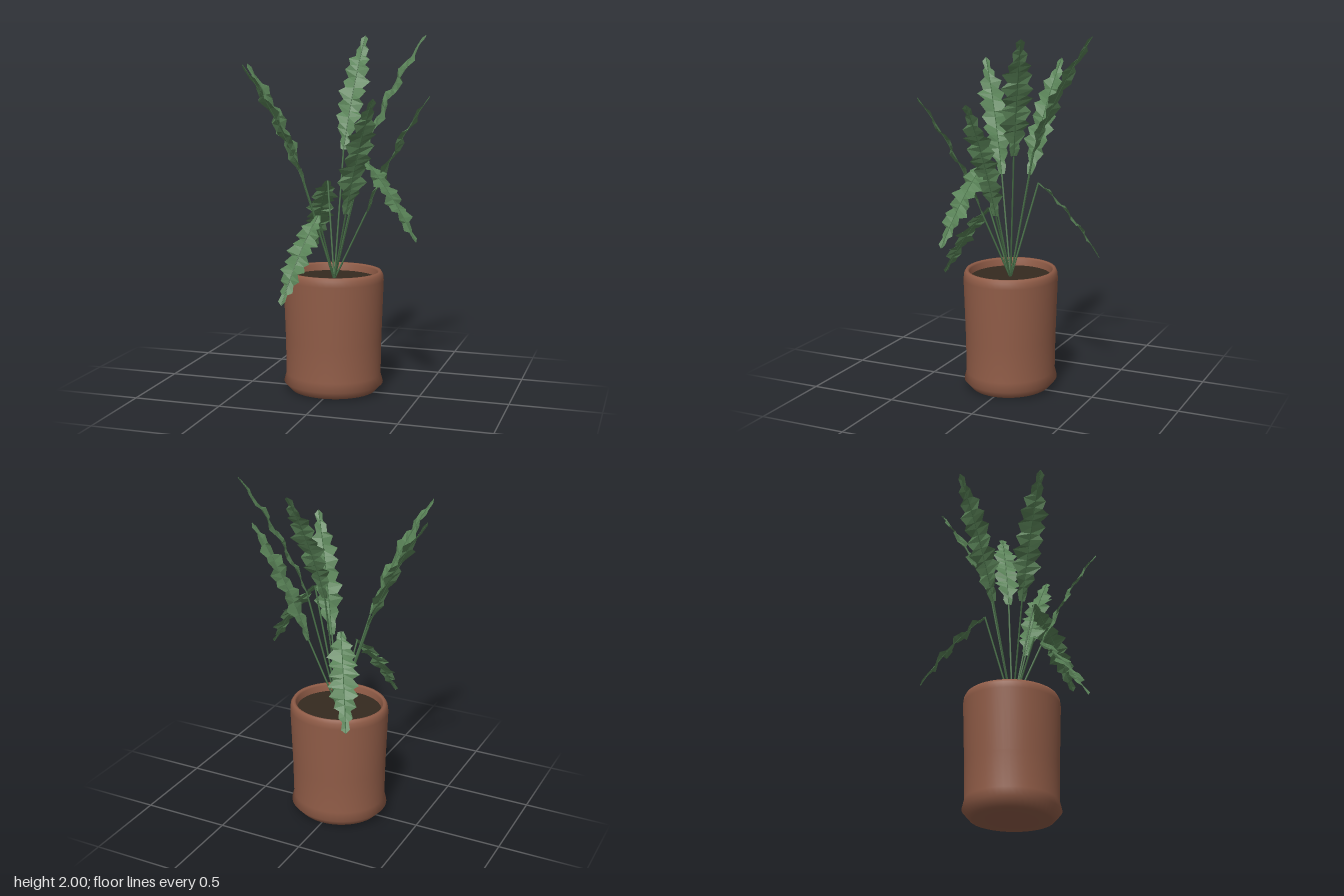
import * as THREE from 'three';

const clay = new THREE.MeshStandardMaterial({ name: 'terracotta', color: 0x905c47 });
const earth = new THREE.MeshStandardMaterial({ name: 'soil', color: 0x352a1f });
const stemGreen = new THREE.MeshStandardMaterial({ name: 'stem green', color: 0x4b734b });
const leafGreen = new THREE.MeshStandardMaterial({
  name: 'leaf green', color: 0x598257, side: THREE.DoubleSide, flatShading: true,
});

const SOIL_Y = 0.645;
const TEETH = 10;

// Tip of every leaf; drooping leaves fold down from the top of their stem
const LEAVES = [
  { tip: [0.04, 2.0, -0.49] },
  { tip: [0.455, 2.0, -0.265] },
  { tip: [0.54, 1.67, 0.003] },
  { tip: [0.33, 1.67, 0.4] },
  { tip: [-0.405, 1.84, 0.345] },
  { tip: [-0.545, 1.84, -0.08] },
  { tip: [0.51, 0.9, 0.17], droops: true },
  { tip: [-0.14, 0.58, 0.49], droops: true },
  { tip: [-0.26, 0.74, -0.435], droops: true },
];

// Half width of the leaf (at the tooth points) along its length
function halfWidth(t) {
  const base = 0.026 + 0.056 * THREE.MathUtils.smoothstep(t, 0.02, 0.26);
  return base * (1 - 0.72 * THREE.MathUtils.smoothstep(t, 0.62, 0.96));
}

// Saw-edged, gently rippled blade following a curve
function bladeGeometry(curve, side, seed) {
  const pos = [], index = [];
  const rows = TEETH * 2;
  for (let i = 0; i <= rows; i++) {
    const t = i / rows;
    const p = curve.getPoint(t);
    const tangent = curve.getTangent(t);
    const normal = new THREE.Vector3().crossVectors(tangent, side).normalize();
    for (const s of [-1, 0, 1]) {
      const isTooth = s !== 0 && i % 2 === 1;
      const uneven = 1 + 0.08 * Math.sin(i * 2.3 + s + seed);
      const w = i === rows ? 0.002 : halfWidth(t) * (isTooth ? uneven : 0.62);
      const ripple = s === 0 ? 0 : 0.014 * Math.sin(t * 25 + s * 0.4 + seed) * Math.min(1, w / 0.05);
      // Tooth points lean towards the tip
      const v = p.clone().addScaledVector(side, s * w).addScaledVector(normal, ripple);
      v.addScaledVector(tangent, isTooth ? 0.011 : 0);
      pos.push(v.x, v.y, v.z);
    }
    if (i < rows) {
      for (const c of [0, 1]) {
        const a = i * 3 + c;
        index.push(a, a + 1, a + 3, a + 1, a + 4, a + 3);
      }
    }
  }
  const geo = new THREE.BufferGeometry();
  geo.setAttribute('position', new THREE.Float32BufferAttribute(pos, 3));
  geo.setIndex(index);
  geo.computeVertexNormals();
  return geo;
}

function makeLeaf({ tip, droops }, i) {
  const end = new THREE.Vector3(...tip);
  const out = new THREE.Vector3(end.x, 0, end.z);
  const reach = out.length();
  out.normalize();
  const side = new THREE.Vector3(-out.z, 0, out.x);
  const base = out.clone().multiplyScalar(reach - 0.35).setY(end.y + (droops ? 0.44 : -0.64));
  const lift = new THREE.Vector3(0, 0.045, 0).addScaledVector(out, droops ? 0.02 : -0.03);
  const middle = base.clone().lerp(end, 0.5).add(lift);
  const curve = new THREE.QuadraticBezierCurve3(base, middle, end);

  const leaf = new THREE.Group();
  leaf.name = droops ? 'droopingLeaf' : 'uprightLeaf';
  const add = (geo, mat, name) => {
    const mesh = new THREE.Mesh(geo, mat);
    mesh.name = name;
    leaf.add(mesh);
  };
  add(bladeGeometry(curve, side, i * 0.9), leafGreen, 'blade');
  add(new THREE.TubeGeometry(curve, 14, 0.0025, 5), stemGreen, 'midrib');
  const root = new THREE.Vector3(0, SOIL_Y - 0.01, 0);
  add(new THREE.TubeGeometry(new THREE.LineCurve3(root, base), 1, 0.0052, 6), stemGreen, 'stem');
  return leaf;
}

export function createModel() {
  const model = new THREE.Group();
  model.name = 'pottedPlant';

  // Slightly oval pot with a flared foot and rounded rim
  const pot = new THREE.Group();
  pot.name = 'pot';
  pot.scale.z = 0.925;
  pot.position.x = -0.004;
  const profile = [
    [0, 0], [0.22, 0], [0.242, 0.006], [0.283, 0.05], [0.27, 0.1],
    [0.273, 0.3], [0.285, 0.64], [0.281, 0.672], [0.27, 0.69],
    [0.258, 0.69], [0.249, 0.68], [0.243, 0.63],
  ].map(([r, y]) => new THREE.Vector2(r, y));
  const body = new THREE.Mesh(new THREE.LatheGeometry(profile, 48), clay);
  body.name = 'potBody';
  const soil = new THREE.Mesh(new THREE.CircleGeometry(0.246, 48), earth);
  soil.name = 'soil';
  soil.rotation.x = -Math.PI / 2;
  soil.position.y = SOIL_Y;
  pot.add(body, soil);
  model.add(pot);

  // Ring of leaves
  LEAVES.forEach((spec, i) => model.add(makeLeaf(spec, i)));
  return model;
}
